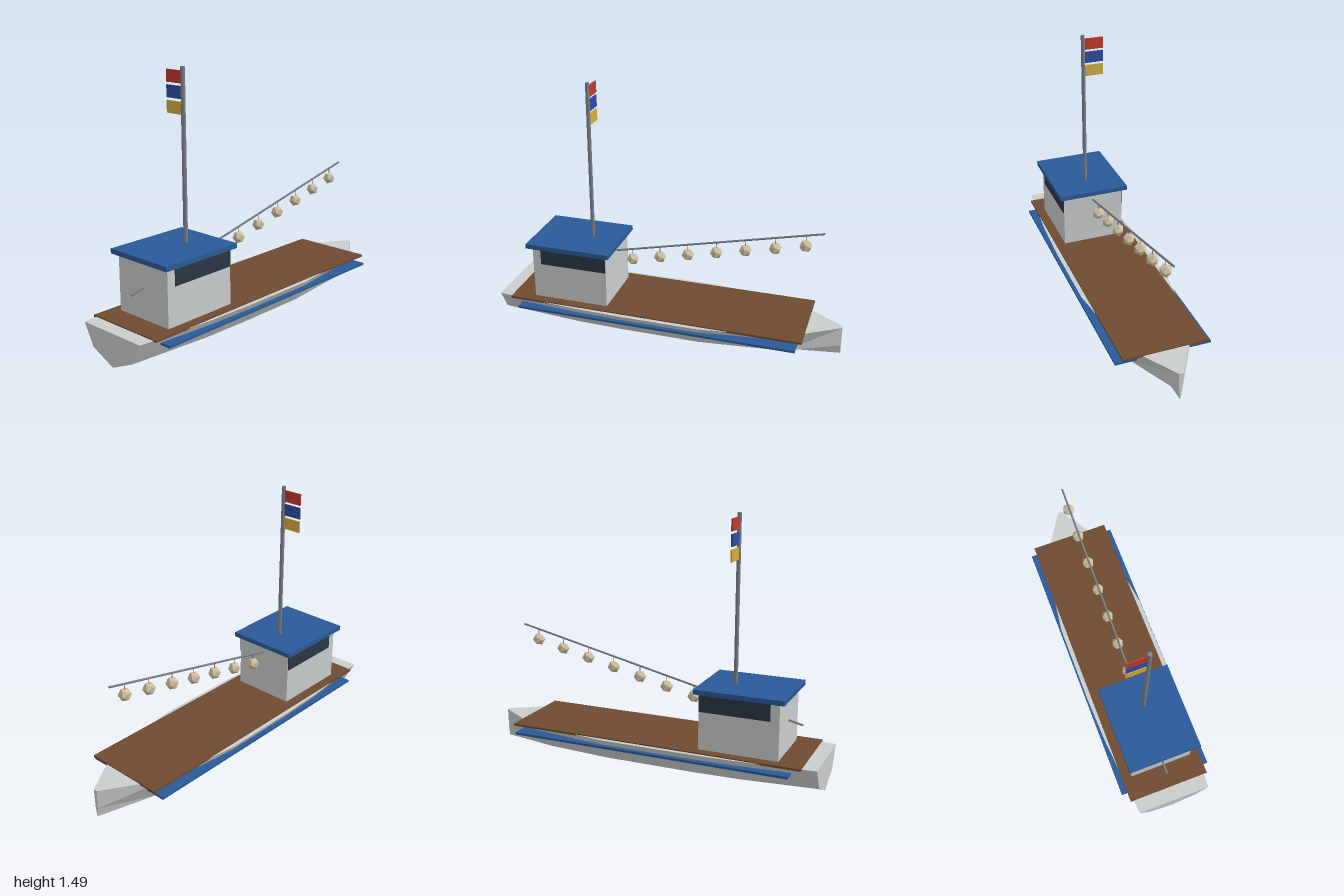
import * as THREE from 'three';

const mat = (name, color, extra = {}) => {
  const m = new THREE.MeshStandardMaterial({ color, ...extra });
  m.name = name;
  return m;
};

// Faceted hull lofted through sections: [x, half beam, chine y, keel y]
function hullGeometry() {
  const top = 0.22;
  const sections = [
    [-1, 0.215, 0.1, 0.032], [-0.53, 0.256, 0.09, 0.01], [-0.25, 0.265, 0.088, 0.005],
    [0.22, 0.265, 0.088, 0.005], [0.7, 0.2, 0.093, 0.02], [1, 0.012, 0.105, 0.05],
  ];
  const pos = [], idx = [], n = 5, last = sections.length - 1;
  for (const [x, w, chine, keel] of sections) {
    const c = w * 0.7;
    pos.push(x, top, w, x, chine, c, x, keel, 0, x, chine, -c, x, top, -w);
  }
  for (let i = 0; i < last; i++) {
    for (let j = 0; j < n; j++) {
      const k = (j + 1) % n;
      const a = i * n + j, b = a + n, c = i * n + k, d = c + n;
      idx.push(a, c, b, b, c, d);
    }
  }
  // Transom and stem
  for (let j = 1; j < n - 1; j++) {
    idx.push(0, j + 1, j);
    idx.push(last * n, last * n + j, last * n + j + 1);
  }
  const g = new THREE.BufferGeometry();
  g.setAttribute('position', new THREE.Float32BufferAttribute(pos, 3));
  g.setIndex(idx);
  const flat = g.toNonIndexed();
  flat.computeVertexNormals();
  return flat;
}

export function createModel() {
  const model = new THREE.Group();
  model.name = 'boat';

  const white = mat('hull white', 0xc9cdcc, { flatShading: true });
  const brown = mat('deck brown', 0x6f4a31);
  const blue = mat('trim blue', 0x2a5a98);
  const dark = mat('window dark', 0x2c3644);
  const steel = mat('steel grey', 0x7b8088);
  const cream = mat('lantern cream', 0xcdc0a0, { flatShading: true });
  const flagColours = [mat('flag red', 0xc0392b), mat('flag blue', 0x2d4ba0), mat('flag yellow', 0xd0ae40)];

  const add = (name, geometry, material, parent = model) => {
    const mesh = new THREE.Mesh(geometry, material);
    mesh.name = name;
    parent.add(mesh);
    return mesh;
  };
  // Box given by its extents on each axis
  const box = (name, material, [x0, x1], [y0, y1], [z0, z1]) => {
    const mesh = add(name, new THREE.BoxGeometry(x1 - x0, y1 - y0, z1 - z0), material);
    mesh.position.set((x0 + x1) / 2, (y0 + y1) / 2, (z0 + z1) / 2);
    return mesh;
  };
  // Straight round bar between two points in the centre plane
  const bar = (name, x0, y0, x1, y1, radius, parent = model, sides = 8) => {
    const length = Math.hypot(x1 - x0, y1 - y0);
    const mesh = add(name, new THREE.CylinderGeometry(radius, radius, length, sides), steel, parent);
    mesh.position.set((x0 + x1) / 2, (y0 + y1) / 2, 0);
    mesh.rotation.z = -Math.atan2(x1 - x0, y1 - y0);
    return mesh;
  };

  // Hull, deck and cabin
  add('hull', hullGeometry(), white);
  box('deck', brown, [-0.92, 0.81], [0.214, 0.226], [-0.24, 0.24]);
  box('cabin', white, [-0.785, -0.335], [0.222, 0.545], [-0.185, 0.185]);
  box('cabinRoof', blue, [-0.815, -0.31], [0.543, 0.57], [-0.212, 0.212]);

  // Rub rails and side windows
  for (const [side, s] of [['left', 1], ['right', -1]]) {
    const across = (a, b) => (s > 0 ? [a, b] : [-b, -a]);
    box(side + 'RubRail', blue, [-0.86, 0.78], [0.174, 0.187], across(0.15, 0.272));
    box(side + 'Window', dark, [-0.735, -0.337], [0.442, 0.538], across(0.182, 0.19));
  }

  // Mast with three flags
  bar('mast', -0.48, 0.55, -0.48, 1.497, 0.012);
  flagColours.forEach((material, i) => {
    const y = 1.443 - i * 0.08;
    box('flag' + (i + 1), material, [-0.484, -0.476], [y - 0.033, y + 0.033], [-0.12, -0.011]);
  });

  // Sloping boom with hanging lanterns
  const boomY = (x) => 0.38 + 0.229 * (x + 0.865);
  bar('boom', -0.865, boomY(-0.865), 0.862, boomY(0.862), 0.006);
  for (let i = 0; i < 7; i++) {
    const x = -0.235 + i * 0.1665, y = boomY(x) - 0.063;
    const group = new THREE.Group();
    group.name = 'lantern' + (i + 1);
    model.add(group);
    add('lanternBody', new THREE.IcosahedronGeometry(0.037, 0), cream, group).position.set(x, y, 0);
    bar('lanternCord', x, y + 0.028, x, boomY(x), 0.002, group, 6);
  }

  return model;
}
